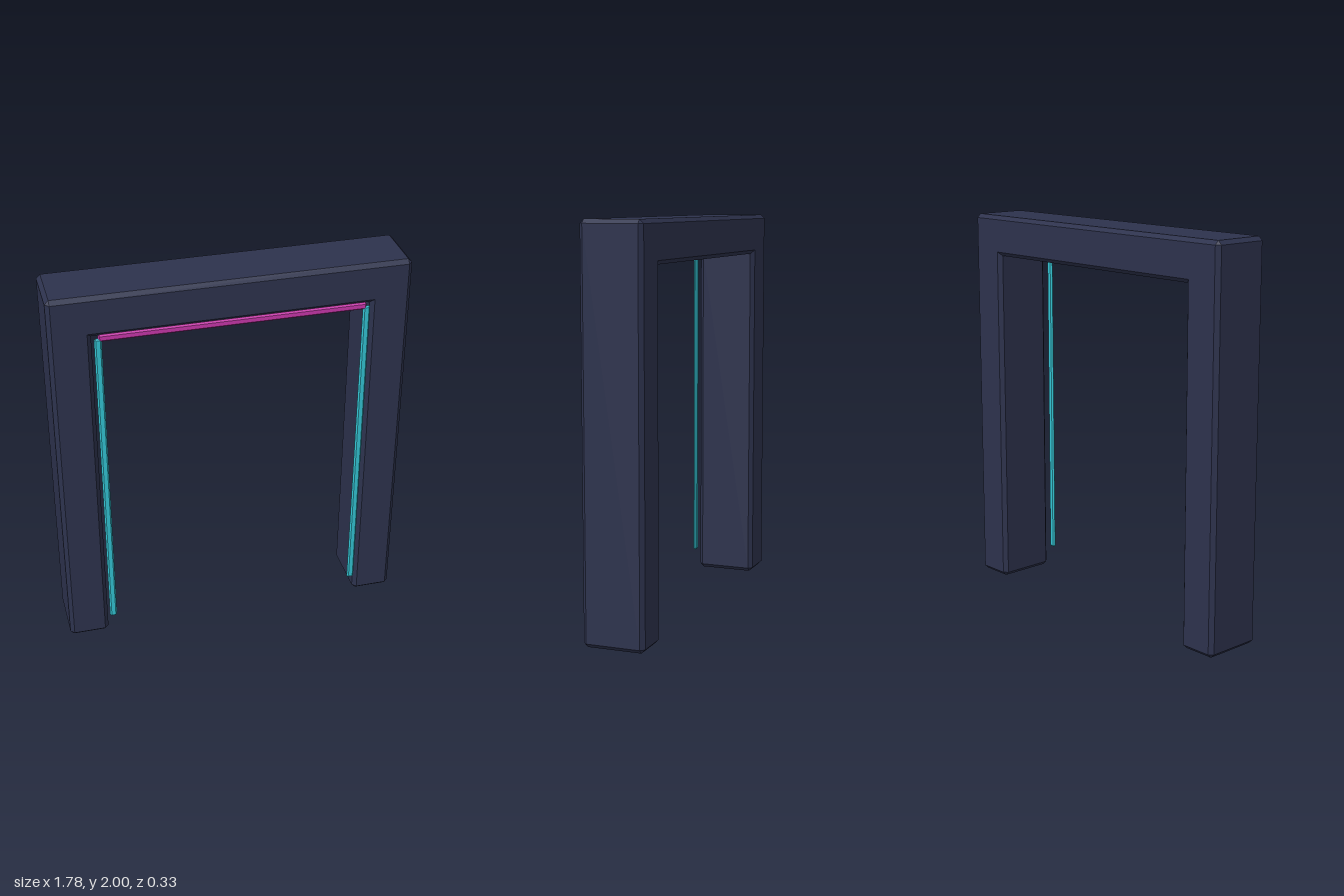
import * as THREE from 'three';

// Solid with chamfered edges: an outline (counter-clockwise, [x, y]) swept from z0 to z1.
function chamferedSolid(outline, z0, z1, c) {
  const n = outline.length;
  const pts = outline.map(([x, y]) => new THREE.Vector2(x, y));
  const normals = pts.map((p, i) => {
    const d = pts[(i + 1) % n].clone().sub(p).normalize();
    return new THREE.Vector2(d.y, -d.x);
  });
  const side = [], cap = [];
  pts.forEach((p, i) => {
    const a = normals[(i + n - 1) % n], b = normals[i];
    const inset = p.clone().addScaledVector(a, -c).addScaledVector(b, -c);
    const convex = a.cross(b) > 0;
    cap.push(inset);
    // convex corners are cut, concave corners stay sharp
    side.push(convex
      ? [inset.clone().addScaledVector(a, c), inset.clone().addScaledVector(b, c)]
      : [p, p]);
  });

  const pos = [];
  const v = (p, z) => [p.x, p.y, z];
  const tri = (...corners) => corners.forEach((q) => pos.push(...q));
  const quad = (a, b, d, e) => { tri(a, b, d); tri(a, d, e); };

  for (let i = 0; i < n; i++) {
    const j = (i + 1) % n;
    const [a, b] = side[i], next = side[j][0];
    // long side and its front and back chamfers
    quad(v(b, z0 + c), v(next, z0 + c), v(next, z1 - c), v(b, z1 - c));
    quad(v(b, z1 - c), v(next, z1 - c), v(cap[j], z1), v(cap[i], z1));
    quad(v(cap[i], z0), v(cap[j], z0), v(next, z0 + c), v(b, z0 + c));
    // corner cut with its end triangles
    if (a !== b) {
      quad(v(a, z0 + c), v(b, z0 + c), v(b, z1 - c), v(a, z1 - c));
      tri(v(a, z1 - c), v(b, z1 - c), v(cap[i], z1));
      tri(v(cap[i], z0), v(b, z0 + c), v(a, z0 + c));
    }
  }
  // front and back faces
  for (const [i, j, k] of THREE.ShapeUtils.triangulateShape(cap, [])) {
    tri(v(cap[i], z1), v(cap[j], z1), v(cap[k], z1));
    tri(v(cap[k], z0), v(cap[j], z0), v(cap[i], z0));
  }

  const g = new THREE.BufferGeometry();
  g.setAttribute('position', new THREE.Float32BufferAttribute(pos, 3));
  g.computeVertexNormals();
  return g;
}

const rect = (x0, x1, y0, y1) => [[x0, y0], [x1, y0], [x1, y1], [x0, y1]];

export function createModel() {
  const group = new THREE.Group();
  const material = (color) => new THREE.MeshStandardMaterial({ color, flatShading: true });
  const dark = material(0x2d324d), cyan = material(0x33c4d4), magenta = material(0xc837ab);
  const add = (name, geometry, mat) => {
    const mesh = new THREE.Mesh(geometry, mat);
    mesh.name = name;
    group.add(mesh);
  };

  // Gate frame: two posts and a lintel in one piece
  const W = 0.89, IN = 0.685, H = 2, UNDER = 1.79;
  add('frame', chamferedSolid([
    [-W, 0], [-IN, 0], [-IN, UNDER], [IN, UNDER],
    [IN, 0], [W, 0], [W, H], [-W, H],
  ], -0.167, 0.146, 0.02), dark);

  // Light strips just in front of the opening
  const Z0 = 0.149, Z1 = 0.167, C = 0.008;
  add('leftLightStrip', chamferedSolid(rect(0.64, 0.677, 0.11, 1.79), Z0, Z1, C), cyan);
  add('rightLightStrip', chamferedSolid(rect(-0.677, -0.64, 0.11, 1.79), Z0, Z1, C), cyan);
  add('topLightStrip', chamferedSolid(rect(-0.658, 0.658, 1.773, 1.81), Z0, Z1, C), magenta);

  return group;
}
